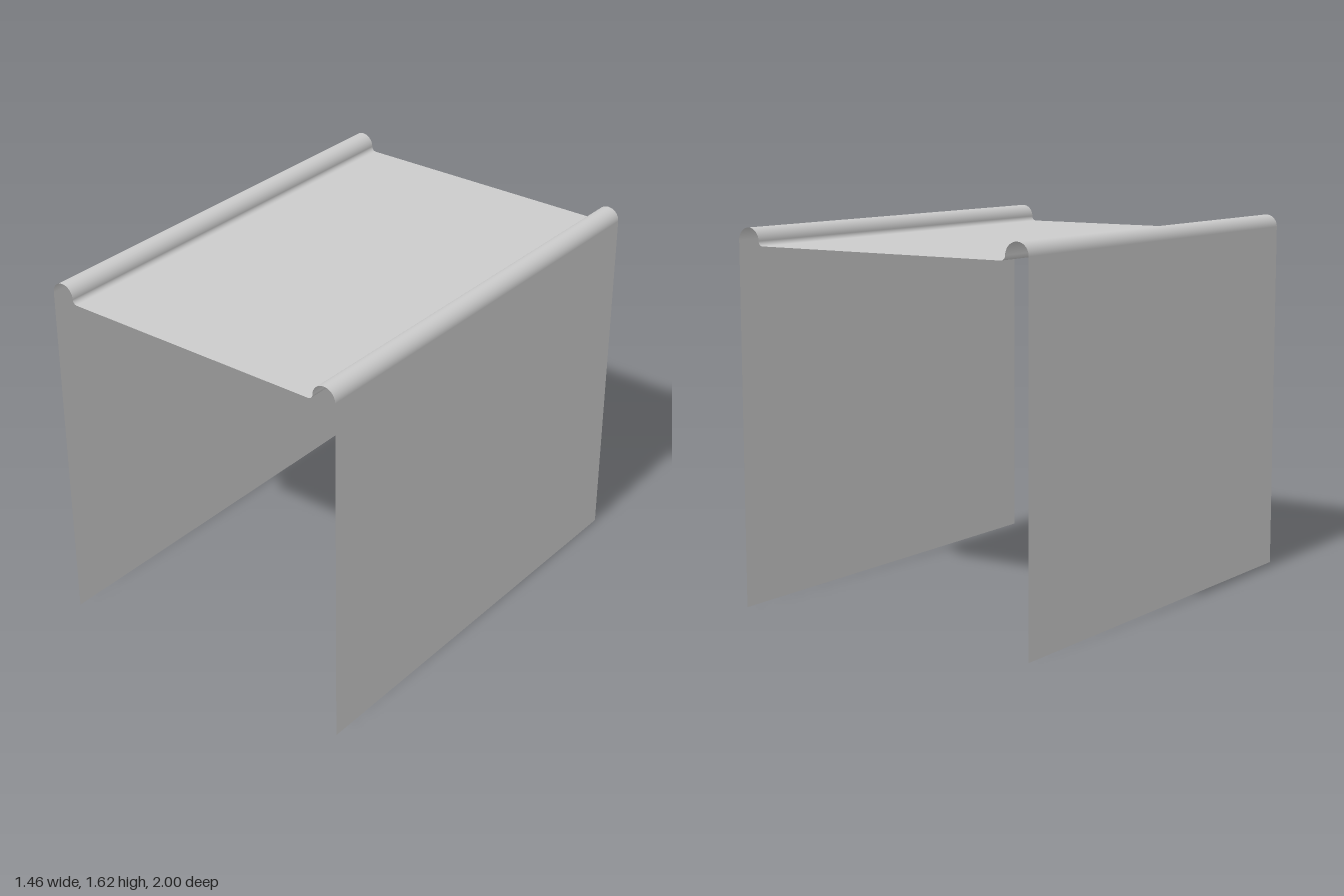
import * as THREE from 'three';

const LENGTH = 2;        // along z
const HALF_WIDTH = 0.73;
const BEAD_R = 0.054;    // rounded ridge on top of each wall
const FILLET_R = 0.021;  // small bend from ridge into the panel
const BEND_Y = 1.571;    // height where the wall starts to curl over
const BEAD_X = HALF_WIDTH - BEAD_R;
const FILLET_X = BEAD_X - BEAD_R - FILLET_R;

const material = new THREE.MeshStandardMaterial({ color: 0xcccccc, side: THREE.DoubleSide });

function addPart(parent, name, geometry, x, y) {
  const mesh = new THREE.Mesh(geometry, material);
  mesh.name = name;
  mesh.position.set(x, y, 0);
  parent.add(mesh);
}

// Open arc of a cylinder running along z; angle 0 points down, PI / 2 to +x
function bend(radius, start, sweep, segments) {
  return new THREE.CylinderGeometry(radius, radius, LENGTH, segments, 1, true, start, sweep)
    .rotateX(Math.PI / 2);
}

export function createModel() {
  const model = new THREE.Group();
  model.name = 'foldedSheetCover';

  // Flat top panel, sunk between the two ridges
  addPart(model, 'topPanel',
    new THREE.PlaneGeometry(2 * FILLET_X, LENGTH).rotateX(-Math.PI / 2),
    0, BEND_Y - FILLET_R);

  // Each side: thin wall, rounded ridge, fillet down into the panel
  for (const side of ['left', 'right']) {
    const group = new THREE.Group();
    group.name = side + 'Side';
    addPart(group, side + 'Wall',
      new THREE.PlaneGeometry(LENGTH, BEND_Y).rotateY(Math.PI / 2),
      HALF_WIDTH, BEND_Y / 2);
    addPart(group, side + 'Ridge', bend(BEAD_R, Math.PI / 2, Math.PI, 24), BEAD_X, BEND_Y);
    addPart(group, side + 'Fillet', bend(FILLET_R, 0, Math.PI / 2, 10), FILLET_X, BEND_Y);
    if (side === 'right') group.rotation.y = Math.PI;
    model.add(group);
  }
  return model;
}
